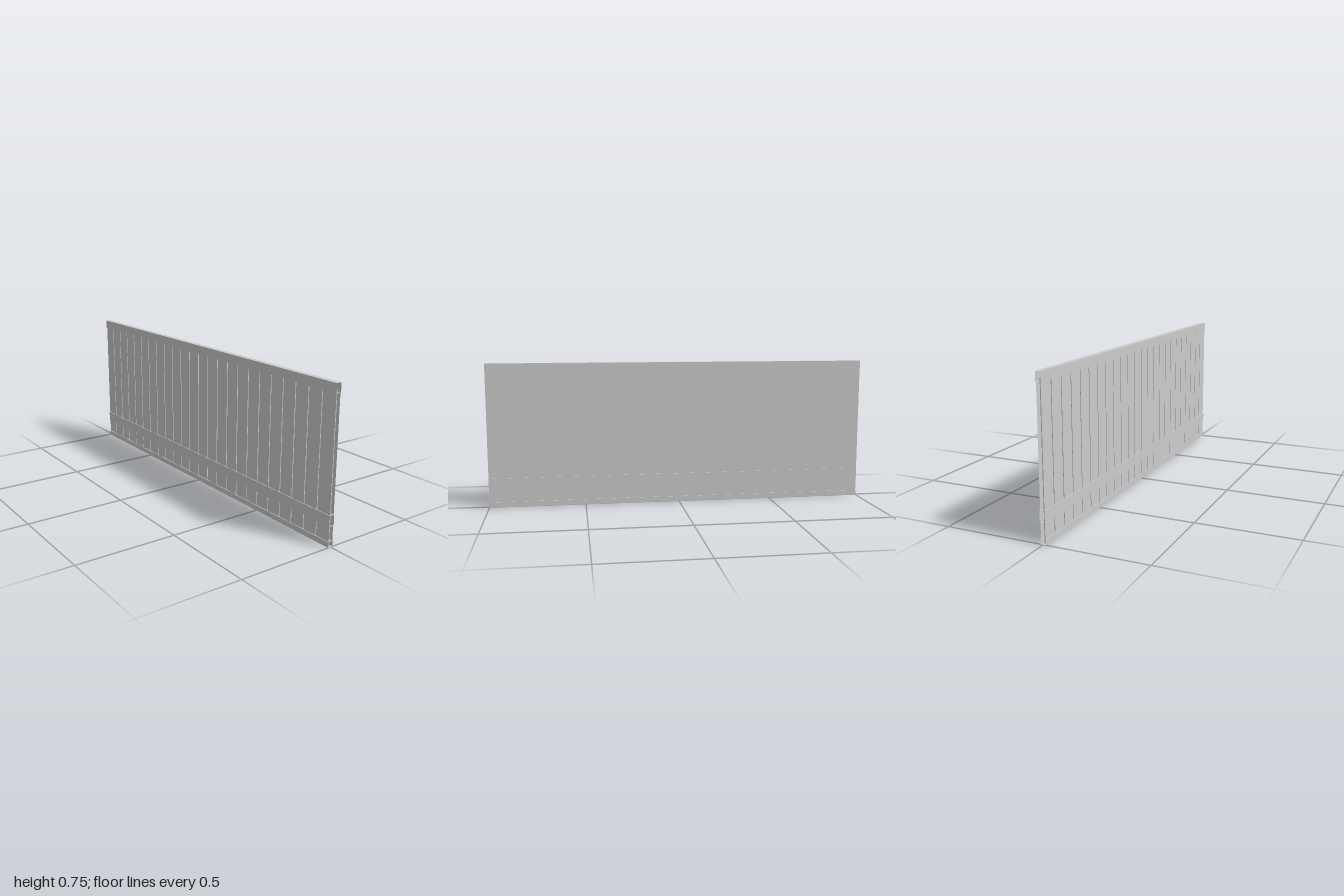
import * as THREE from 'three';

const material = new THREE.MeshStandardMaterial({ color: 0xcccccc, flatShading: true, side: THREE.DoubleSide });

// Sweeps a polyline of 2D points from lo to hi; place(u, v, t) maps to 3D.
function sweep(name, points, lo, hi, place) {
  const pos = [];
  for (let i = 0; i < points.length - 1; i++) {
    const p = points[i], q = points[i + 1];
    const a = place(...p, lo), b = place(...q, lo), c = place(...q, hi), d = place(...p, hi);
    pos.push(...a, ...b, ...c, ...a, ...c, ...d);
  }
  const geometry = new THREE.BufferGeometry();
  geometry.setAttribute('position', new THREE.Float32BufferAttribute(pos, 3));
  geometry.computeVertexNormals();
  const mesh = new THREE.Mesh(geometry, material);
  mesh.name = name;
  return mesh;
}

export function createModel() {
  const group = new THREE.Group();
  group.name = 'boardedPanel';

  // Front cladding: boards separated by shallow vertical grooves
  const boards = 24, width = 2 / boards, gap = 0.0025;
  const face = 0.01, floor = 0.006;
  const front = [];
  for (let i = 0; i < boards; i++) {
    const l = -1 + i * width, r = l + width;
    front.push([l, floor], [l + gap, floor], [l + gap, face], [r - gap, face], [r - gap, floor], [r, floor]);
  }
  const upright = (x, z, y) => [x, y, z];
  group.add(sweep('frontBoards', front, 0.005, 0.724, upright));

  // Plain back sheet
  group.add(sweep('backSheet', [[1, -face], [-1, -face]], 0.005, 0.724, upright));

  // Open-ended hollow rails wrapping both faces
  const half = 0.0135;
  const along = (y, z, x) => [x, y, z];
  const rails = [['topRail', 0.705, 0.75], ['middleRail', 0.1, 0.153], ['bottomRail', 0, 0.027]];
  for (const [name, y0, y1] of rails) {
    const profile = [[y1, half], [y0, half], [y0, -half], [y1, -half], [y1, half]];
    group.add(sweep(name, profile, -1, 1, along));
  }
  return group;
}
